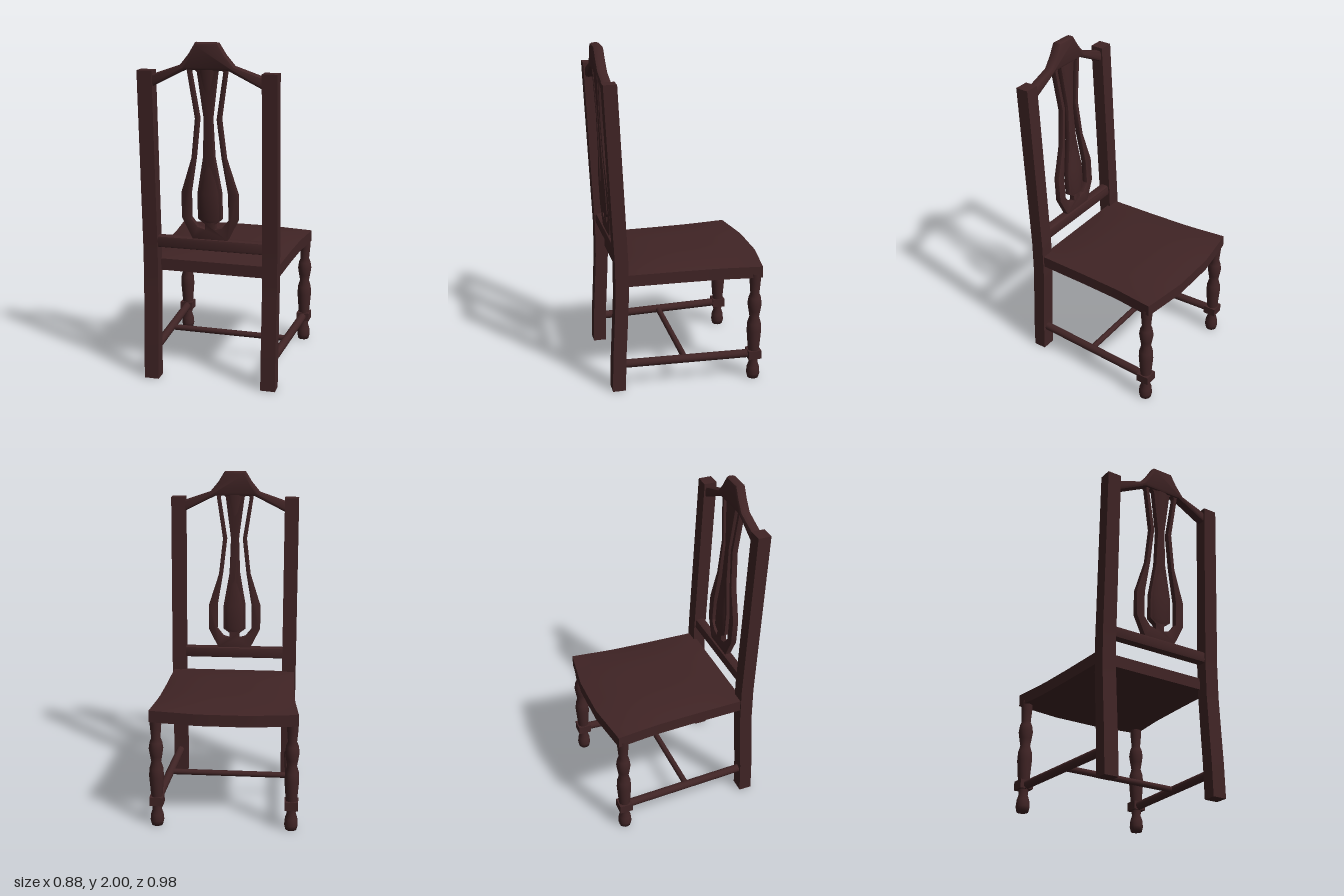
import * as THREE from 'three';
import { toCreasedNormals } from 'three/addons/utils/BufferGeometryUtils.js';

const V2 = (p) => p.map(([x, y]) => new THREE.Vector2(x, y));

// Piecewise-linear lookup in a list of [input, output] pairs
function lookup(table, t) {
  for (let i = 1; i < table.length; i++) {
    const [a, va] = table[i - 1], [b, vb] = table[i];
    if (t <= b) return va + (vb - va) * THREE.MathUtils.clamp((t - a) / (b - a), 0, 1);
  }
  return table[table.length - 1][1];
}

// Symmetric outline from its right half, listed bottom to top
const mirrored = (half) => [...half, ...half.map(([x, y]) => [-x, y]).reverse()];

export function createModel() {
  const root = new THREE.Group();
  root.name = 'chair';
  const chair = new THREE.Group();
  chair.name = 'chairBody';
  chair.position.x = -0.015;
  chair.rotation.y = -0.04;
  root.add(chair);

  const wood = new THREE.MeshStandardMaterial({ color: 0x402425 });
  wood.name = 'darkWood';

  function add(name, geometry, parent = chair) {
    const mesh = new THREE.Mesh(geometry, wood);
    mesh.name = name;
    parent.add(mesh);
    return mesh;
  }

  // Round bar between two points
  function bar(name, from, to, radius, parent = chair) {
    const a = new THREE.Vector3(...from), b = new THREE.Vector3(...to);
    const mesh = add(name, new THREE.CylinderGeometry(radius, radius, a.distanceTo(b), 12), parent);
    mesh.position.copy(a).lerp(b, 0.5);
    mesh.quaternion.setFromUnitVectors(new THREE.Vector3(0, 1, 0), b.clone().sub(a).normalize());
    return mesh;
  }

  // Flat carved board with softened edges, centred on z = 0
  function board(name, outline, holes, depth, bevel, parent) {
    const shape = new THREE.Shape(V2(outline));
    for (const h of holes) shape.holes.push(new THREE.Path(V2(h)));
    const g = new THREE.ExtrudeGeometry(shape, {
      depth: depth - 2 * bevel, bevelThickness: bevel, bevelSize: bevel,
      bevelOffset: -bevel, bevelSegments: 2,
    });
    g.translate(0, 0, bevel - depth / 2);
    return add(name, toCreasedNormals(g, 0.6), parent);
  }

  // Seat: box bent to a bow front, waisted sides and a domed top
  const halfWidth = [[-1, 0.432], [-0.4, 0.405], [0.2, 0.395], [1, 0.388]];
  const bow = [[0, 0.04], [0.34, 0.04], [1, 0]];
  const seat = new THREE.BoxGeometry(2, 0.07, 2, 12, 1, 12);
  const sp = seat.attributes.position;
  for (let i = 0; i < sp.count; i++) {
    const u = sp.getX(i), v = sp.getZ(i);
    const front = -0.445 - lookup(bow, Math.abs(u));
    const dome = sp.getY(i) > 0 ? 0.03 * (1 - Math.abs(u) ** 3) * (1 - Math.abs(v) ** 3) : 0;
    sp.setXYZ(i, u * lookup(halfWidth, v), 0.693 + sp.getY(i) + dome,
      front + (0.37 - front) * (v + 1) / 2);
  }
  seat.computeVertexNormals();
  add('seat', seat);

  // Turned front leg profiles, below and above the square block
  const foot = [[0, 0], [0.034, 0], [0.041, 0.03], [0.037, 0.07], [0.027, 0.1], [0.03, 0.14]];
  const shaft = [[0.032, 0.17], [0.036, 0.21], [0.044, 0.31], [0.041, 0.36], [0.029, 0.4],
    [0.036, 0.44], [0.043, 0.485], [0.037, 0.525], [0.027, 0.55], [0.033, 0.62], [0.036, 0.68]];
  const postLine = [[0, 0.416], [0.2, 0.411], [0.4, 0.4], [0.6, 0.39], [0.8, 0.39], [1.84, 0.437]];

  for (const [side, s] of [['left', 1], ['right', -1]]) {
    const leg = new THREE.Group();
    leg.name = side + 'FrontLeg';
    leg.position.set(s * 0.398, 0, -0.41);
    chair.add(leg);
    add(side + 'Foot', new THREE.LatheGeometry(V2(foot), 14), leg);
    add(side + 'LegShaft', new THREE.LatheGeometry(V2(shaft), 14), leg);
    add(side + 'LegBlock', new THREE.BoxGeometry(0.08, 0.052, 0.08), leg).position.y = 0.158;

    // Back leg and post in one curved piece
    const post = new THREE.BoxGeometry(0.087, 1.84, 0.078, 1, 46, 1);
    post.translate(0, 0.92, 0);
    const pp = post.attributes.position;
    for (let i = 0; i < pp.count; i++) pp.setZ(i, pp.getZ(i) + lookup(postLine, pp.getY(i)));
    post.computeVertexNormals();
    add(side + 'BackPost', post).position.x = s * 0.355;

    bar(side + 'SideStretcher', [s * 0.395, 0.157, -0.4], [s * 0.357, 0.157, 0.4], 0.025);
  }
  bar('crossStretcher', [-0.375, 0.157, 0.01], [0.375, 0.157, 0.01], 0.018);

  // Lower back rail
  board('lowerBackRail', [[-0.33, 0.81], [0.33, 0.81], [0.33, 0.88], [-0.33, 0.88]], [], 0.062, 0.016, chair)
    .position.z = 0.393;

  // Leaning back panel: heights are measured from its pivot
  const back = new THREE.Group();
  back.name = 'backPanel';
  back.position.set(0, 0.85, 0.393);
  back.rotation.x = 0.045;
  chair.add(back);
  const raise = (p) => p.map(([x, y]) => [x, y - 0.85]);

  // Crest rail with raised centre
  const crestTop = [[0.33, 1.815], [0.155, 1.875], [0.105, 1.935], [0.065, 2.0]];
  board('crestRail', raise(mirrored([[0.12, 1.85], [0.33, 1.745], ...crestTop])), [], 0.062, 0.018, back);

  // Pierced splat with a slot on each side of the centre
  const splat = [[0.105, 0.87], [0.105, 0.88], [0.165, 1.0], [0.165, 1.15], [0.1, 1.355], [0.075, 1.58], [0.12, 1.88]];
  const slot = [[0.03, 0.94], [0.07, 0.95], [0.11, 1.0], [0.11, 1.15], [0.075, 1.36], [0.05, 1.58],
    [0.092, 1.84], [0.08, 1.86], [0.058, 1.84], [0.024, 1.58], [0.033, 1.36], [0.07, 1.15], [0.07, 1.0], [0.03, 0.97]];
  board('splat', raise(mirrored(splat)),
    [raise(slot), raise(slot).map(([x, y]) => [-x, y])], 0.036, 0.004, back);

  // Rounded vase swelling on the splat centre
  const vase = [[0, 0.93], [0.03, 0.94], [0.03, 0.97], [0.07, 1.0], [0.07, 1.15], [0.045, 1.28],
    [0.033, 1.36], [0.026, 1.58], [0.04, 1.72], [0.056, 1.84], [0.056, 1.88]];
  add('splatVase', new THREE.LatheGeometry(V2(raise(vase)), 16), back).scale.z = 0.45;

  return root;
}
